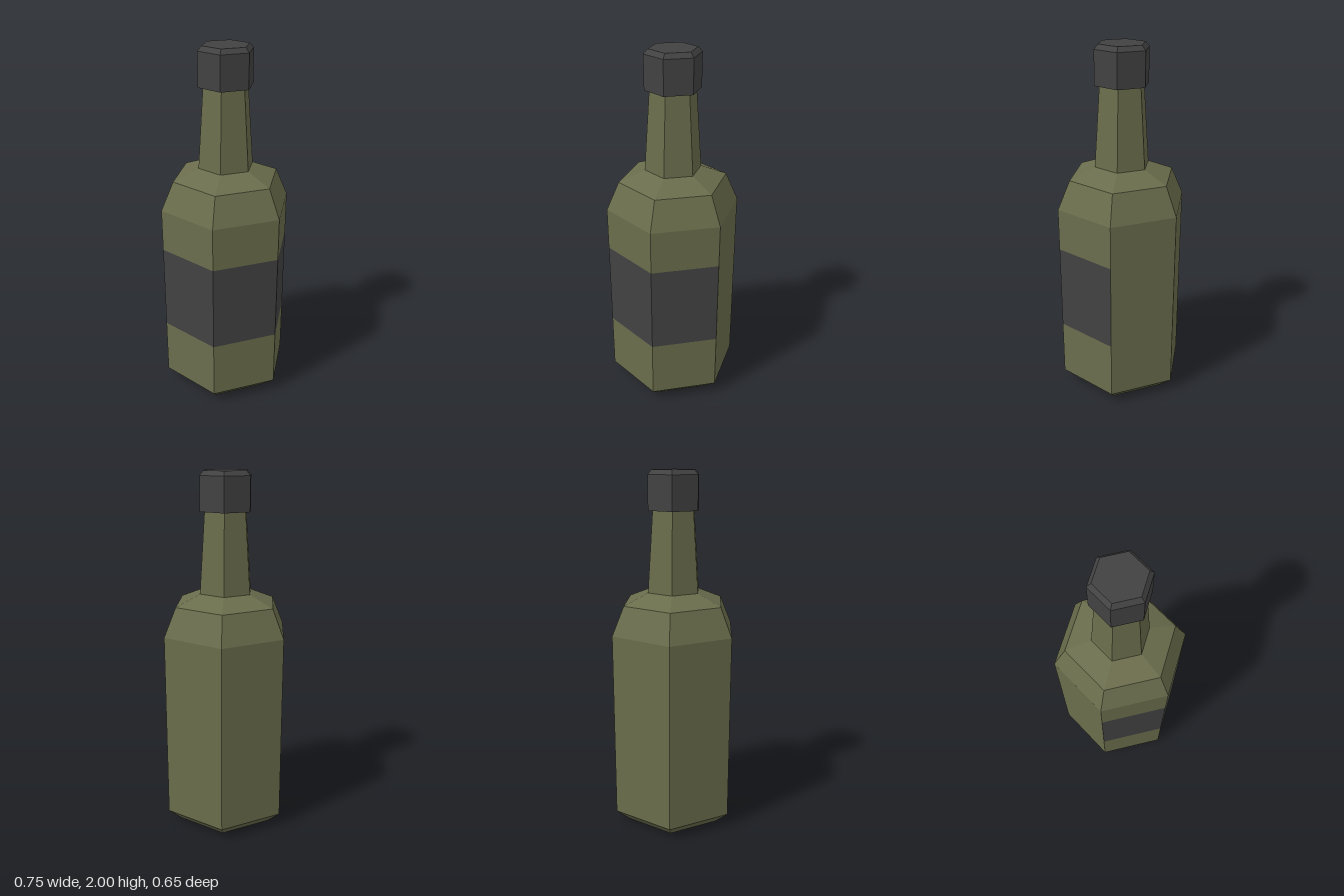
import * as THREE from 'three';

const START = -Math.PI / 6; // puts a flat side to the front and corners on the x axis

// Faceted six-sided shell from [radius, height] points, bottom to top
function hexShell(name, profile, material, sides = 6, phi = START) {
  const points = profile.map(([r, y]) => new THREE.Vector2(r, y));
  const geometry = new THREE.LatheGeometry(points, sides, phi, sides * Math.PI / 3).toNonIndexed();
  geometry.computeVertexNormals();
  const mesh = new THREE.Mesh(geometry, material);
  mesh.name = name;
  return mesh;
}

export function createModel() {
  const glass = new THREE.MeshStandardMaterial({ color: 0x6a6d4c });
  glass.name = 'olive glass';
  const dark = new THREE.MeshStandardMaterial({ color: 0x424242 });
  dark.name = 'dark grey';

  const R = 0.373, labelLow = 0.4, labelHigh = 0.89;
  const band = [[R, labelLow], [R, labelHigh]];

  const bottle = new THREE.Group();
  bottle.name = 'bottle';
  bottle.add(
    // Chamfered foot and lower body
    hexShell('lowerBody', [[0, 0], [0.295, 0], [R, 0.07], [R, labelLow]], glass),
    // Middle band: label on three sides, bare glass on the others
    hexShell('label', band, dark, 3, START),
    hexShell('bareBand', band, glass, 3, START + Math.PI),
    // Upper body, shoulders and tapered neck
    hexShell('shouldersAndNeck', [[R, labelHigh], [R, 1.13], [0.302, 1.29], [0.157, 1.35], [0.125, 1.8]], glass),
    // Closed cap with bevelled top
    hexShell('cap', [[0, 1.79], [0.153, 1.79], [0.153, 1.975], [0.13, 2], [0, 2]], dark),
  );
  return bottle;
}
